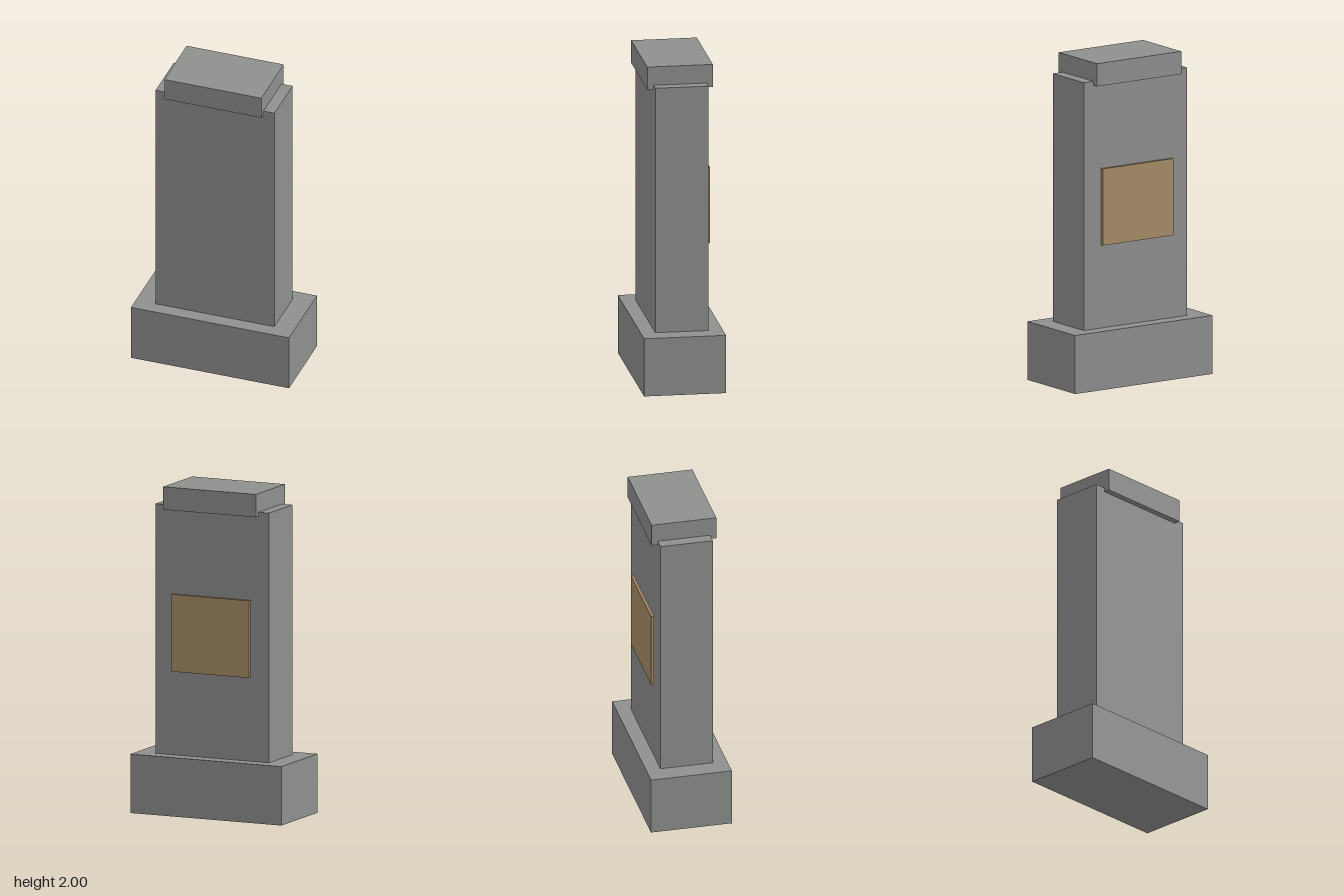
import * as THREE from 'three';

export function createModel() {
  const model = new THREE.Group();
  model.name = 'monument';

  const stone = new THREE.MeshStandardMaterial({ color: 0x8e908e });
  stone.name = 'grey stone';
  const bronze = new THREE.MeshStandardMaterial({ color: 0xa88d68 });
  bronze.name = 'bronze';

  // Box spanning y0..y1, centred on x = 0 and on the given z
  function block(name, material, width, y0, y1, depth, z = 0) {
    const mesh = new THREE.Mesh(new THREE.BoxGeometry(width, y1 - y0, depth), material);
    mesh.name = name;
    mesh.position.set(0, (y0 + y1) / 2, z);
    model.add(mesh);
  }

  block('base', stone, 1.01, 0, 0.36, 0.5);
  block('shaft', stone, 0.76, 0.36, 1.885, 0.324);
  // Cap sits slightly down over the shaft, narrower but deeper
  block('cap', stone, 0.62, 1.86, 2, 0.4);
  // Plaque stands just off the back face
  block('plaque', bronze, 0.52, 0.873, 1.345, 0.017, -0.182);

  return model;
}
